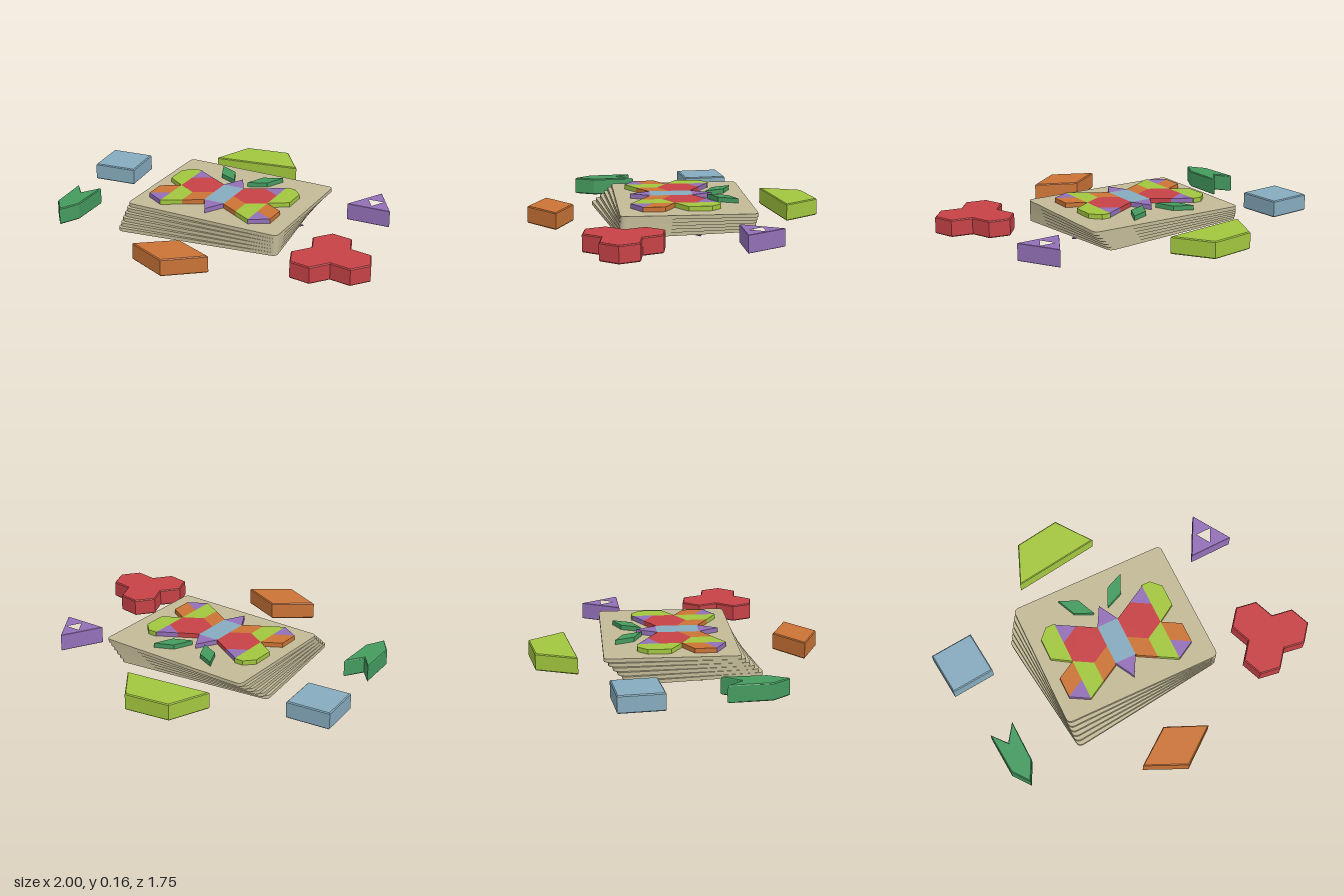
import * as THREE from 'three';

const mat = (name, color) => Object.assign(new THREE.MeshStandardMaterial({ color }), { name });
const tan = mat('card tan', 0xc3ba97);
const red = mat('red', 0xc64246);
const orange = mat('orange', 0xcb7436);
const lime = mat('lime', 0xa3c73f);
const purple = mat('purple', 0x9370b8);
const blue = mat('blue', 0x86abbe);
const green = mat('green', 0x459b5f);

// Plan outlines are arrays of [x, z] points
const outline = (points) => points.map(([x, z]) => new THREE.Vector2(x, -z));

// Upright prism between two heights, with an optional softened edge and hole
function prism(name, material, points, y0, y1, bevel = 0, hole = null) {
  const shape = new THREE.Shape(outline(points));
  if (hole) shape.holes.push(new THREE.Path(outline(hole)));
  const geo = new THREE.ExtrudeGeometry(shape, {
    depth: y1 - y0 - 2 * bevel, bevelEnabled: bevel > 0, bevelSize: bevel,
    bevelThickness: bevel, bevelOffset: -bevel, bevelSegments: 1,
  });
  geo.rotateX(-Math.PI / 2).translate(0, y0 + bevel, 0);
  const mesh = new THREE.Mesh(geo, material);
  mesh.name = name;
  return mesh;
}

// Point at an angle around a centre
const polar = (cx, cz, r, a) => [cx + r * Math.cos(a), cz + r * Math.sin(a)];

// Regular polygon
const ring = (cx, cz, r, sides, turn) =>
  Array.from({ length: sides }, (_, i) => polar(cx, cz, r, turn + (i / sides) * Math.PI * 2));

// Rhombus from its centre and its two half diagonals
const rhombus = (cx, cz, ax, az, bx, bz) =>
  [[cx + ax, cz + az], [cx + bx, cz + bz], [cx - ax, cz - az], [cx - bx, cz - bz]];

// Three hexagons of side s meeting at one point
function tripleHexagon(cx, cz, s, turn) {
  const points = [];
  for (let k = 0; k < 3; k++) {
    const a = turn + (k * Math.PI * 2) / 3, sixth = Math.PI / 3;
    const start = polar(cx, cz, s, a), tip = polar(cx, cz, s, a + sixth);
    points.push(start, polar(...start, s, a + sixth), polar(...tip, s, a + sixth), polar(...tip, s, a + 2 * sixth));
  }
  return points;
}

// Rounded card whose front right corner is the origin, so it can fan out there
function cardGeometry(w, d, r, t) {
  const s = new THREE.Shape();
  s.moveTo(-r, 0).lineTo(-w + r, 0).quadraticCurveTo(-w, 0, -w, r);
  s.lineTo(-w, d - r).quadraticCurveTo(-w, d, -w + r, d);
  s.lineTo(-r, d).quadraticCurveTo(0, d, 0, d - r);
  s.lineTo(0, r).quadraticCurveTo(0, 0, -r, 0);
  return new THREE.ExtrudeGeometry(s, { depth: t, bevelEnabled: false, curveSegments: 5 }).rotateX(-Math.PI / 2);
}

const BOTTOM = 0.006, TOP = 0.135, FAN = THREE.MathUtils.degToRad(15.5);

// Fanned stack of cards
function makeCards() {
  const cards = new THREE.Group();
  cards.name = 'cardStack';
  const count = 6, step = (TOP - BOTTOM) / count;
  const geo = cardGeometry(1.0, 0.8, 0.035, step);
  for (let i = 0; i < count; i++) {
    const card = new THREE.Mesh(geo, tan);
    card.name = 'card' + (i + 1);
    card.position.set(0.405, BOTTOM + i * step, 0.485);
    card.rotation.y = -THREE.MathUtils.lerp(0.14, FAN, i / (count - 1));
    cards.add(card);
  }
  return cards;
}

// Butterfly of tiles on a triangular grid, with mirrored wings
function makeButterfly() {
  const butterfly = new THREE.Group();
  butterfly.name = 'butterflyMosaic';
  butterfly.position.set(-0.005, 0, 0.02);
  butterfly.rotation.y = -FAN;
  const tile = (name, m, points) => butterfly.add(prism(name, m, points, TOP - 0.002, 0.163));

  const half = 0.067, col = 0.114, row = 0.065;
  const wing = [
    ['Hexagon', red, [[1, -2], [2, -1], [2, 1], [1, 2], [0, 1], [0, -1]]],
    ['UpperTriangle', purple, [[1, -2], [2, -3], [2, -1]]],
    ['UpperTrapezoid', lime, [[2, -3.1], [2.5, -3.1], [3, -2.2], [3, -0.1], [2, 1]]],
    ['InnerRhombus', orange, [[0, 1], [1, 2], [1, 4], [0, 3]]],
    ['LowerTrapezoid', lime, [[1, 2], [2, 1], [2, 5], [1, 4]]],
    ['OuterRhombus', orange, [[2, 1], [3, 2], [3, 4], [2, 3]]],
    ['LowerTriangle', purple, [[2, 3], [3, 4], [2, 5]]],
  ];
  for (const [side, sign] of [['left', 1], ['right', -1]]) {
    for (const [name, m, cells] of wing) {
      tile(side + 'Wing' + name, m, cells.map(([i, j]) => [sign * (half + i * col), -0.06 + j * row]));
    }
    const feeler = rhombus(0.128, -0.303, 0.082, -0.083, 0.03, 0.033);
    tile(side + 'Antenna', green, feeler.map(([x, z]) => [sign * x, z]));
  }
  const end = 0.128;
  tile('body', blue, [[-half, -end], [half, -end], [half, end], [-half, end]]);
  tile('head', purple, [[-half, -end], [0, -0.25], [half, -end]]);
  tile('tail', purple, [[-half, end], [half, end], [0, 0.25]]);
  return butterfly;
}

// Caterpillar picture under the bottom card
function makeCaterpillar() {
  const caterpillar = new THREE.Group();
  caterpillar.name = 'caterpillarPicture';
  const print = (name, m, points) => caterpillar.add(prism(name, m, points, 0, BOTTOM));
  [red, lime, red].forEach((m, i) =>
    print('segment' + (i + 1), m, ring(-0.405 + i * 0.232, i * 0.022, 0.12, 6, 0.14)));
  print('neck', lime, [[0.18, 0.06], [0.22, -0.04], [0.28, 0.06], [0.24, 0.17], [0.13, 0.15]]);
  print('face', orange, [[0.28, 0.06], [0.33, -0.03], [0.39, 0.07], [0.33, 0.17], [0.24, 0.17]]);
  print('nose', purple, ring(0.43, 0.02, 0.06, 3, 0.14));
  for (let i = 0; i < 5; i++) {
    print('foot' + (i + 1), purple, ring(-0.42 + i * 0.138, 0.228 + i * 0.005, 0.06, 3, -1.43));
  }
  print('frontFeeler', green, rhombus(0.355, -0.155, 0.075, -0.035, 0.02, 0.03));
  print('backFeeler', green, rhombus(0.262, -0.19, 0.025, 0.065, 0.03, -0.02));
  return caterpillar;
}

// Loose blocks around the cards
function makeBlocks() {
  const blocks = new THREE.Group();
  blocks.name = 'looseBlocks';
  const block = (name, m, points, hole) =>
    blocks.add(prism(name + 'Block', m, points, 0.008, 0.112, hole ? 0.002 : 0.006, hole));
  block('square', blue, ring(-0.793, -0.5, 0.191, 4, -0.62));
  block('trapezoid', lime, [[-0.04, -0.88], [0.24, -0.85], [0.335, -0.6], [-0.2, -0.665]]);
  block('triangle', purple, ring(0.883, -0.155, 0.157, 3, -1.335), ring(0.892, -0.16, 0.059, 3, 1.807));
  block('tripleHexagon', red, tripleHexagon(0.733, 0.583, 0.13, 1.463));
  block('rhombus', orange, [[-0.39, 0.7], [-0.14, 0.6], [0.07, 0.77], [-0.18, 0.875]]);
  block('chevron', green, [[-0.95, -0.035], [-0.9, 0.07], [-0.8, -0.015], [-0.86, 0.24], [-0.95, 0.34], [-1, 0.22]]);
  return blocks;
}

export function createModel() {
  const model = new THREE.Group();
  model.name = 'patternBlockSet';
  model.add(makeCards(), makeButterfly(), makeCaterpillar(), makeBlocks());
  return model;
}
